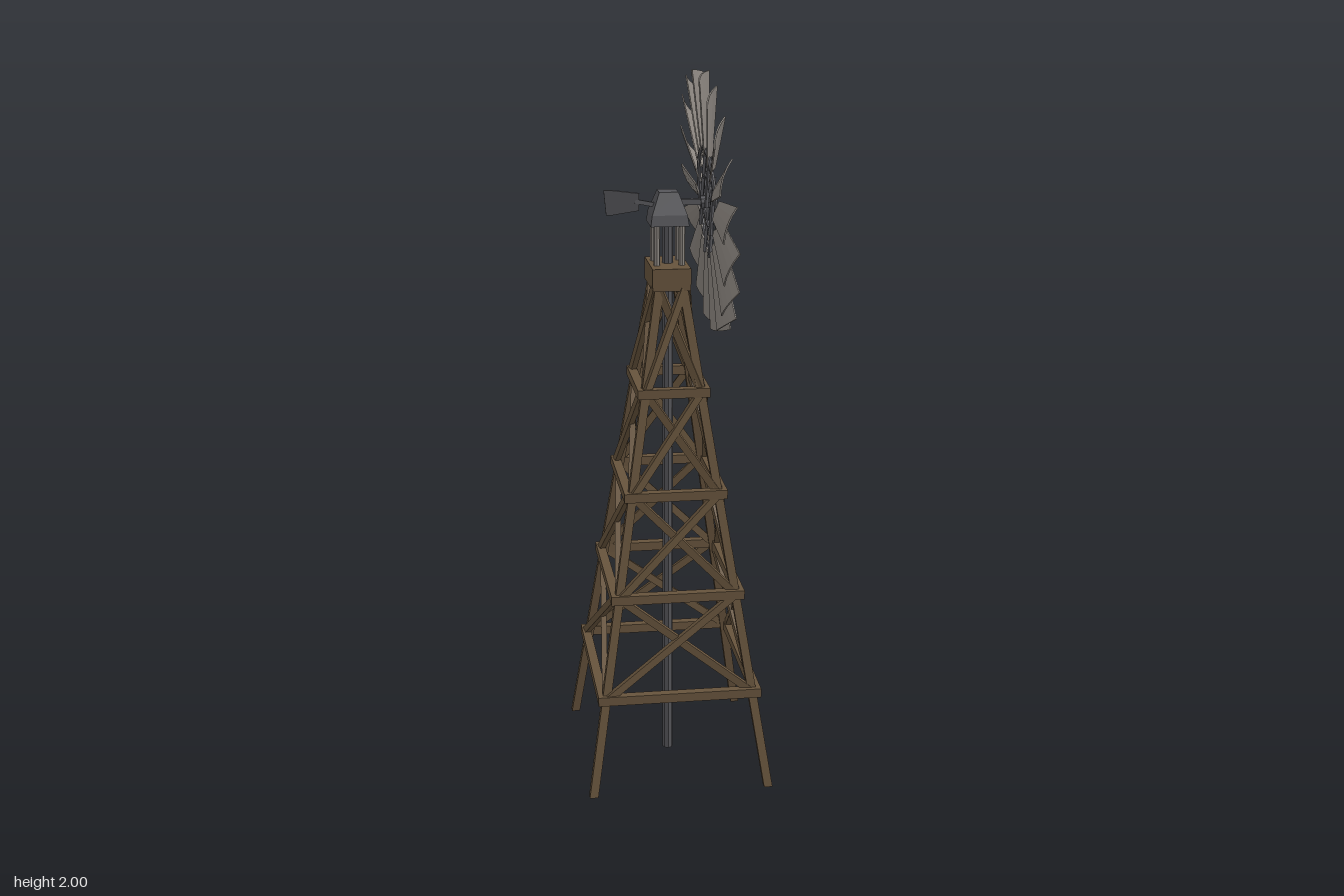
import * as THREE from 'three';

const mat = (color, side = THREE.FrontSide) =>
  new THREE.MeshStandardMaterial({ color, side, flatShading: true });

export function createModel() {
  const root = new THREE.Group();
  const wood = mat(0x66533c), metal = mat(0x56565a), steel = mat(0x8c8680, THREE.DoubleSide);
  const V = (x, y, z) => new THREE.Vector3(x, y, z);

  function add(parent, name, geo, material, x = 0, y = 0, z = 0) {
    const m = new THREE.Mesh(geo, material);
    m.name = name;
    m.position.set(x, y, z);
    parent.add(m);
    return m;
  }
  // straight square beam between two points
  function beam(parent, name, a, b, depth, width, material) {
    const mid = a.clone().add(b).multiplyScalar(0.5);
    const m = add(parent, name, new THREE.BoxGeometry(depth, width, a.distanceTo(b)), material, mid.x, mid.y, mid.z);
    m.lookAt(b);
    return m;
  }
  // box whose top is scaled and shifted relative to its base
  function taper(w, h, d, sx, sz, dx = 0, dz = 0) {
    const g = new THREE.BoxGeometry(w, h, d).translate(0, h / 2, 0);
    const p = g.attributes.position;
    for (let i = 0; i < p.count; i++) {
      if (p.getY(i) > h / 2) p.setXYZ(i, p.getX(i) * sx + dx, h, p.getZ(i) * sz + dz);
    }
    g.computeVertexNormals();
    return g;
  }

  // ---- tower ----
  const tower = new THREE.Group();
  tower.name = 'tower';
  root.add(tower);
  const legX = y => 0.25 - 0.153 * y, legZ = y => 0.286 - 0.154 * y;
  const topY = 1.42;
  for (const sx of [-1, 1]) for (const sz of [-1, 1]) {
    add(tower, 'leg', taper(0.024, topY, 0.024, 1, 1,
      sx * (legX(topY) - legX(0)), sz * (legZ(topY) - legZ(0))), wood, sx * legX(0), 0, sz * legZ(0));
  }

  // rails round each level
  const levels = [0.28, 0.563, 0.848, 1.132, 1.415];
  const out = 0.024, rail = 0.026;
  for (const y of levels.slice(0, 4)) {
    const X = legX(y) + out, Z = legZ(y) + out;
    for (const s of [-1, 1]) {
      add(tower, 'frontRail', new THREE.BoxGeometry(2 * X, rail, rail), wood, 0, y, s * (Z - rail / 2));
      add(tower, 'sideRail', new THREE.BoxGeometry(rail, rail, 2 * (Z - rail)), wood, s * (X - rail / 2), y, 0);
    }
  }

  // crossed braces in each bay
  for (let i = 0; i < 4; i++) {
    const y0 = levels[i], y1 = levels[i + 1];
    for (const s of [-1, 1]) for (const d of [-1, 1]) {
      const o = 0.008 + d * 0.004;
      beam(tower, 'frontBrace', V(-d * legX(y0), y0, s * (legZ(y0) + o)),
        V(d * legX(y1), y1, s * (legZ(y1) + o)), 0.016, 0.021, wood);
      beam(tower, 'sideBrace', V(s * (legX(y0) + o), y0, -d * legZ(y0)),
        V(s * (legX(y1) + o), y1, d * legZ(y1)), 0.016, 0.021, wood);
    }
  }
  add(tower, 'cap', new THREE.BoxGeometry(0.106, 0.062, 0.178), wood, 0, 1.441, 0);
  add(tower, 'pumpPipe', new THREE.CylinderGeometry(0.015, 0.015, 1.59, 8), metal, 0, 0.795, 0);

  // ---- gear head ----
  const head = new THREE.Group();
  head.name = 'gearHead';
  root.add(head);
  for (const sx of [-1, 1]) for (const sz of [-1, 1]) {
    add(head, 'headPost', new THREE.CylinderGeometry(0.009, 0.009, 0.13, 8), steel, sx * 0.035, 1.53, sz * 0.035);
  }
  add(head, 'housing', taper(0.106, 0.03, 0.106, 0.92, 0.92), metal, 0, 1.582, 0);
  add(head, 'housingRoof', taper(0.0975, 0.06, 0.0975, 0.54, 0.54), metal, 0, 1.612, 0);
  beam(head, 'axle', V(0.03, 1.64, 0), V(0.13, 1.64, 0), 0.016, 0.016, metal);

  // tail arm and vane
  beam(head, 'tailArm', V(-0.03, 1.633, 0), V(-0.09, 1.645, 0), 0.009, 0.012, metal);
  const vane = new THREE.Shape([[-0.05, 0.037], [-0.03, 0.037], [0.048, 0.026], [0.048, -0.024],
    [-0.03, -0.036], [-0.042, -0.036]].map(p => new THREE.Vector2(...p)));
  const tail = add(head, 'tailVane', new THREE.ExtrudeGeometry(vane, { depth: 0.006, bevelEnabled: false })
    .translate(0, 0, -0.003), metal, -0.127, 1.642, 0);
  tail.rotation.x = 0.2;

  // ---- wheel, facing +x and leaning back ----
  const wheel = new THREE.Group();
  wheel.name = 'wheel';
  wheel.position.set(0.111, 1.64, 0);
  wheel.rotation.z = 0.073;
  root.add(wheel);
  const hub = add(wheel, 'hub', new THREE.CylinderGeometry(0.018, 0.018, 0.04, 10), metal);
  hub.rotation.z = Math.PI / 2;
  for (const [r, t] of [[0.147, 0.006], [0.072, 0.005]]) {
    const ring = add(wheel, 'wheelRing', new THREE.TorusGeometry(r, t, 6, 36), metal);
    ring.rotation.y = Math.PI / 2;
  }
  for (let i = 0; i < 6; i++) {
    const a = Math.PI / 2 + i * Math.PI / 3;
    beam(wheel, 'spoke', V(0, 0, 0), V(0, Math.cos(a) * 0.16, Math.sin(a) * 0.16), 0.008, 0.008, metal);
  }

  // blade: flared, slightly cupped and pitched sheet
  const r0 = 0.142, r1 = 0.358;
  const blade = new THREE.BoxGeometry(0.004, r1 - r0, 1, 1, 1, 4);
  const p = blade.attributes.position;
  for (let i = 0; i < p.count; i++) {
    const k = p.getY(i) > 0 ? 1 : 0, u = p.getZ(i) * 2;
    const w = k ? 0.103 : 0.054, z = u * w / 2;
    const r = k ? r1 : r0;
    p.setXYZ(i, p.getX(i) + (u * u - 0.5) * w * 0.08, Math.sqrt(r * r - z * z), z);
  }
  blade.rotateY(-0.42);
  blade.computeVertexNormals();
  for (let i = 0; i < 18; i++) {
    add(wheel, 'blade', blade, steel).rotation.x = (i + 0.5) * Math.PI / 9;
  }
  return root;
}
